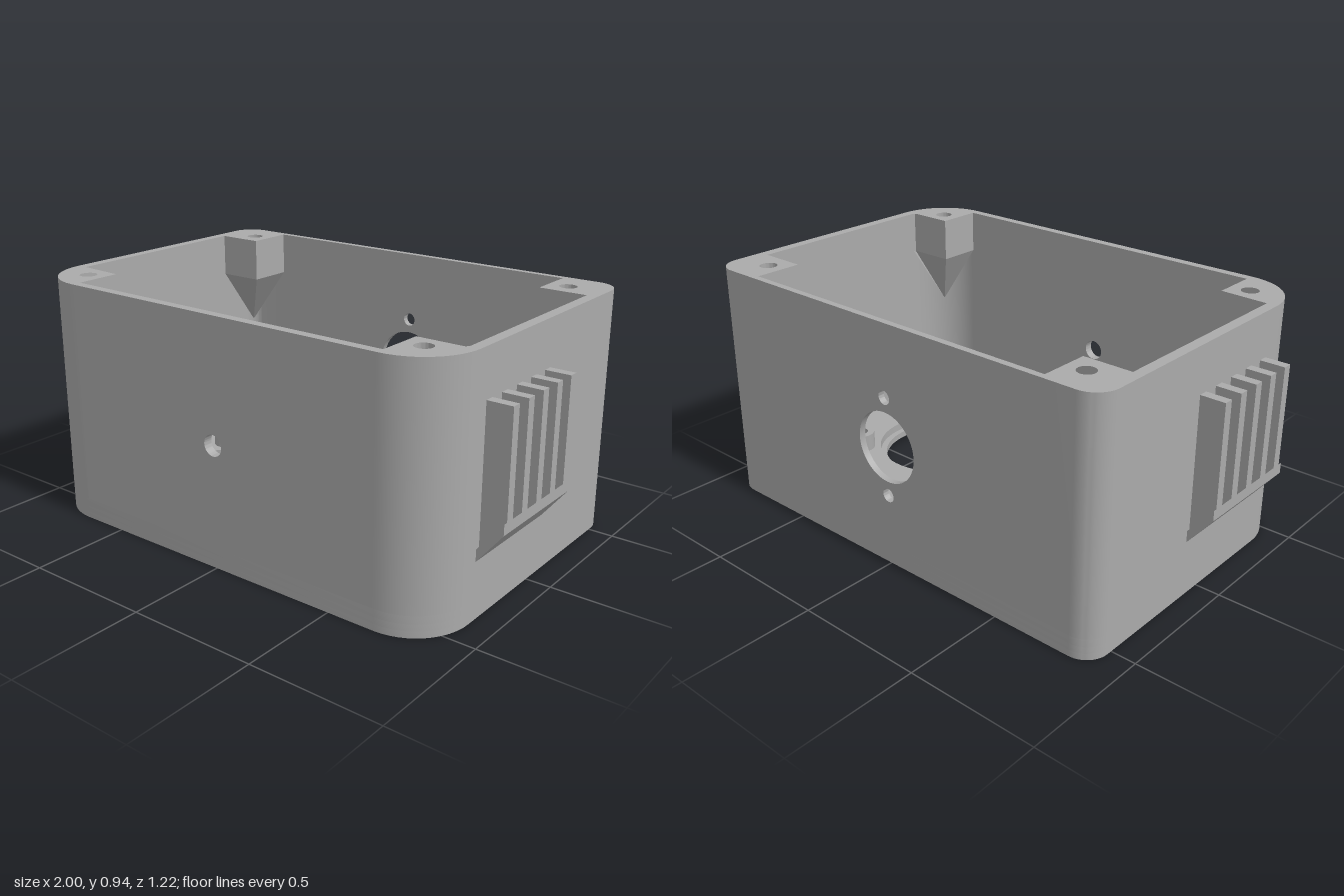
import * as THREE from 'three';
import { toCreasedNormals } from 'three/addons/utils/BufferGeometryUtils.js';

const H = 0.935, FLOOR = 0.08, SPLIT = 0.68;

// points along an elliptical corner in plan (x, z)
function arc(cx, cz, rx, rz, a0, a1, n = 12) {
  const pts = [];
  for (let i = 0; i <= n; i++) {
    const a = THREE.MathUtils.degToRad(a0 + (a1 - a0) * i / n);
    pts.push([cx + rx * Math.cos(a), cz + rz * Math.sin(a)]);
  }
  return pts;
}

// plan points (x, z) become shape points (x, -z)
const planPts = (pts, sx = 1) => pts.map(([x, z]) => new THREE.Vector2(sx * x, -z));
const circle = (x, y, r) => new THREE.Path().absarc(x, y, r, 0, Math.PI * 2, true);

function extrude(shape, depth) {
  return new THREE.ExtrudeGeometry(shape, { depth, bevelEnabled: false, curveSegments: 32 });
}

// extrude a plan shape upward from y0 to y1
function slab(pts, y0, y1, holes = [], sx = 1) {
  const shape = new THREE.Shape(planPts(pts, sx));
  shape.holes.push(...holes);
  return extrude(shape, y1 - y0).rotateX(-Math.PI / 2).translate(0, y0, 0);
}

export function createModel() {
  const group = new THREE.Group();
  const grey = new THREE.MeshStandardMaterial({ color: 0xaaaaaa });
  grey.name = 'grey plastic';

  function add(name, geometry) {
    const mesh = new THREE.Mesh(toCreasedNormals(geometry, 0.5), grey);
    mesh.name = name;
    group.add(mesh);
    return mesh;
  }

  // wide front corners, tight back corners
  const outer = [...arc(0.685, 0.39, 0.22, 0.22, 90, 0), ...arc(0.815, -0.52, 0.09, 0.09, 0, -90)];
  const innerFront = arc(0.685, 0.39, 0.18, 0.185, 90, 0);
  const innerBack = arc(0.815, -0.52, 0.05, 0.065, 0, -90);
  const outline = [...outer, ...outer.map(([x, z]) => [-x, z]).reverse()];

  // floor in three layers: outside recesses, plate, inside recesses
  const recesses = [-1, 1].map(s => circle(s * 0.42, -0.1, 0.37));
  recesses.push(new THREE.Path(planPts([[-0.7, -0.45], [0.7, -0.45], [0.7, -0.29], [-0.7, -0.29]])));
  add('floorUnderside', slab(outline, 0, 0.025, recesses));
  add('floorPlate', slab(outline, 0.025, 0.05, [-1, 1].map(s => circle(s * 0.42, -0.1, 0.245))));
  const keyhole = [...arc(0.42, 0.1, 0.27, 0.27, -150.5, 150.5, 48), [0.108, 0.233], [0.108, -0.033]];
  add('floorTop', slab(outline, 0.05, FLOOR, [-1, 1].map(s => new THREE.Path(planPts(keyhole, s)))));

  // low strip between the two openings
  const strip = new THREE.BoxGeometry(0.216, 0.03, 0.655);
  add('centreStrip', strip.translate(0, FLOOR + 0.015, -0.2575));

  // flat front and back walls with their holes
  function panel(name, z0, z1, holes) {
    const shape = new THREE.Shape([
      new THREE.Vector2(-SPLIT, FLOOR), new THREE.Vector2(SPLIT, FLOOR),
      new THREE.Vector2(SPLIT, H), new THREE.Vector2(-SPLIT, H)]);
    shape.holes.push(...holes);
    add(name, extrude(shape, z1 - z0).translate(0, 0, z0));
  }
  panel('frontWall', 0.575, 0.61, [circle(0, 0.47, 0.04)]);
  panel('backWall', -0.61, -0.585,
    [circle(0, 0.47, 0.135), circle(0, 0.66, 0.026), circle(0, 0.28, 0.026)]);

  for (const s of [-1, 1]) {
    const side = s > 0 ? 'left' : 'right';

    // side wall with both rounded corners
    const inner = [...innerFront, ...innerBack].reverse();
    add(side + 'Wall', slab([[SPLIT, 0.61], ...outer, [SPLIT, -0.61], [SPLIT, -0.585],
      ...inner, [SPLIT, 0.575]], FLOOR, H, [], s));

    // corner screw posts, each tapering into its corner
    const corners = [
      { name: 'Front', pts: [[SPLIT, 0.4], [SPLIT, 0.575], ...innerFront, [0.865, 0.4]],
        hole: [0.755, 0.47], tip: [0.812, 0.521] },
      { name: 'Back', pts: [[SPLIT, -0.4], [0.865, -0.4], ...innerBack, [SPLIT, -0.585]],
        hole: [0.755, -0.48], tip: [0.85, -0.566] }];
    for (const { name, pts, hole, tip } of corners) {
      add(side + name + 'Post', slab(pts, 0.81, H, [circle(s * hole[0], -hole[1], 0.033)], s));
      add(side + name + 'PostBase', slab(pts, 0.765, 0.81, [], s));
      const taper = slab(pts, 0.53, 0.765, [], s);
      const p = taper.attributes.position;
      for (let i = 0; i < p.count; i++) {
        if (p.getY(i) > 0.6) continue;
        p.setX(i, THREE.MathUtils.lerp(p.getX(i), s * tip[0], 0.98));
        p.setZ(i, THREE.MathUtils.lerp(p.getZ(i), tip[1], 0.98));
      }
      add(side + name + 'PostTaper', taper);
    }

    // screw bosses on the floor
    for (const [x, z] of [[0.655, -0.16], [0.178, 0.355]]) {
      const profile = [[0.057, FLOOR], [0.057, 0.15], [0.03, 0.15], [0.03, FLOOR]];
      const boss = new THREE.LatheGeometry(profile.map(q => new THREE.Vector2(...q)), 28);
      add(side + 'Boss', boss.translate(s * x, 0, z));
    }

    // vertical fins standing in a slanted ledge
    const bar = (name, pts, z0, z1) => add(name, extrude(
      new THREE.Shape(pts.map(([x, y]) => new THREE.Vector2(s * x, y))), z1 - z0).translate(0, 0, z0));
    bar(side + 'Ledge', [[0.9, 0.209], [1, 0.335], [1, 0.375], [0.9, 0.254]], -0.086, 0.36);
    for (let i = 0; i < 5; i++) {
      const z = -0.073 + i * 0.095;
      bar(side + 'Fin', [[0.9, 0.23], [1, 0.355], [1, 0.76], [0.9, 0.76]], z, z + 0.036);
    }
  }
  return group;
}
